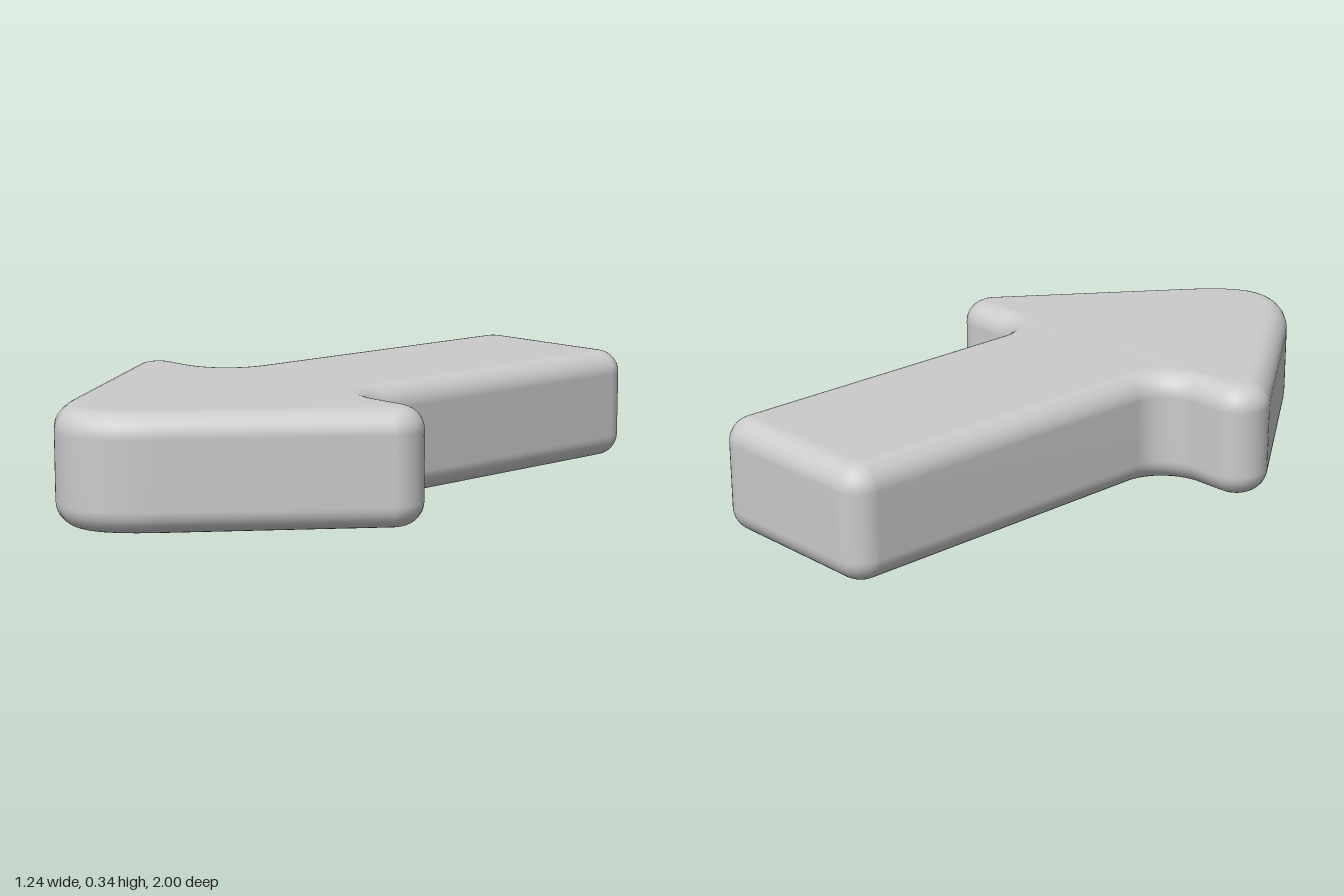
import * as THREE from 'three';
import { mergeVertices } from 'three/addons/utils/BufferGeometryUtils.js';

// Rounds each corner [x, z, cut, weight]; without a weight the rounding is a circular arc.
function roundedOutline(corners, steps = 10) {
  const points = [];
  corners.forEach(([x, z, cut, weight], i) => {
    const n = corners.length;
    const p = new THREE.Vector2(x, -z);
    const toward = ([cx, cz]) => new THREE.Vector2(cx, -cz).sub(p).normalize();
    const u = toward(corners[(i + n - 1) % n]);
    const v = toward(corners[(i + 1) % n]);
    const w = weight ?? Math.sqrt((1 - u.dot(v)) / 2);
    for (let k = 0; k <= steps; k++) {
      const t = k / steps;
      const a = (1 - t) ** 2, b = 2 * w * t * (1 - t), c = t * t;
      points.push(p.clone()
        .addScaledVector(u, cut * a / (a + b + c))
        .addScaledVector(v, cut * c / (a + b + c)));
    }
  });
  return new THREE.Shape(points);
}

export function createModel() {
  const height = 0.34, bevel = 0.07;

  // Arrow outline seen from above, tip toward +z
  const outline = roundedOutline([
    [0, 1.15, 0.371, 1],       // broad tip
    [0.707, 0.18, 0.184],      // left barb
    [0.296, 0.18, 0.11],       // left inner corner
    [0.291, -1, 0.08],         // shaft end
    [-0.314, -1, 0.08],
    [-0.318, 0.18, 0.11],      // right inner corner
    [-0.711, 0.18, 0.184],     // right barb
  ]);

  // Slab with softly rounded top and bottom edges
  let geometry = new THREE.ExtrudeGeometry(outline, {
    depth: height - 2 * bevel,
    bevelEnabled: true,
    bevelSize: bevel,
    bevelThickness: bevel,
    bevelOffset: -bevel,
    bevelSegments: 8,
  });
  geometry.rotateX(-Math.PI / 2);
  geometry.translate(0, bevel + 0.003, 0);

  // Weld for smooth normals
  geometry.deleteAttribute('normal');
  geometry.deleteAttribute('uv');
  geometry = mergeVertices(geometry, 1e-4);
  geometry.computeVertexNormals();

  const arrow = new THREE.Mesh(geometry, new THREE.MeshStandardMaterial({ color: 0xcccccc }));
  arrow.name = 'arrow';
  const group = new THREE.Group();
  group.name = 'roundedArrow';
  group.add(arrow);
  return group;
}
